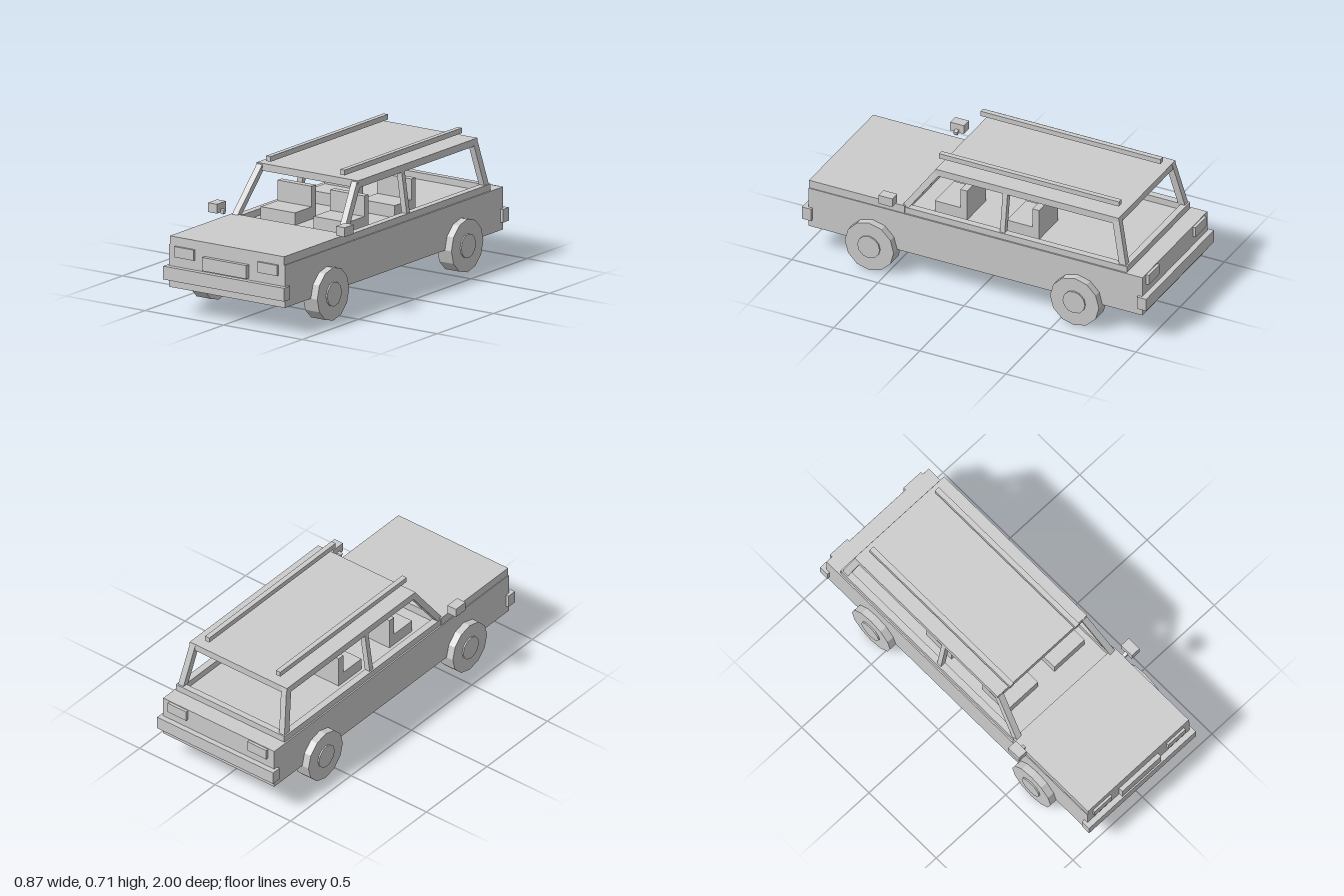
import * as THREE from 'three';

const material = new THREE.MeshStandardMaterial({ color: 0xcccccc, flatShading: true });

export function createModel() {
  const car = new THREE.Group();
  car.name = 'stationWagon';

  const add = (name, geometry) => {
    const mesh = new THREE.Mesh(geometry, material);
    mesh.name = name;
    car.add(mesh);
    return mesh;
  };

  // Box given by its extents on each axis
  const box = (name, [x0, x1], [y0, y1], [z0, z1]) =>
    add(name, new THREE.BoxGeometry(x1 - x0, y1 - y0, z1 - z0)
      .translate((x0 + x1) / 2, (y0 + y1) / 2, (z0 + z1) / 2));

  // Same box on both sides, x given for the left (+x) side
  const boxPair = (name, [x0, x1], y, z) => {
    box(name + 'Left', [x0, x1], y, z);
    box(name + 'Right', [-x1, -x0], y, z);
  };

  // Leaning post: a box sheared from a bottom centre to a top centre
  const post = (name, bottom, top, width, depth) => {
    const height = top[1] - bottom[1];
    for (const side of [1, -1]) {
      const geometry = new THREE.BoxGeometry(width, height, depth);
      const p = geometry.attributes.position;
      for (let i = 0; i < p.count; i++) {
        const t = p.getY(i) / height + 0.5;
        p.setXYZ(i,
          p.getX(i) + side * THREE.MathUtils.lerp(bottom[0], top[0], t),
          THREE.MathUtils.lerp(bottom[1], top[1], t),
          p.getZ(i) + THREE.MathUtils.lerp(bottom[2], top[2], t));
      }
      geometry.computeVertexNormals();
      add(name + (side > 0 ? 'Left' : 'Right'), geometry);
    }
  };

  // Body and hood
  box('body', [-0.368, 0.368], [0.142, 0.37], [-0.97, 0.97]);
  box('hood', [-0.363, 0.363], [0.37, 0.415], [0.414, 0.97]);

  // Window sills around the open cabin
  boxPair('sideSill', [0.322, 0.36], [0.37, 0.406], [-0.87, 0.435]);
  box('rearSill', [-0.358, 0.358], [0.37, 0.406], [-0.875, -0.84]);

  // Pillars and roof
  post('frontPillar', [0.338, 0.40, 0.42], [0.301, 0.654, 0.238], 0.035, 0.042);
  post('middlePillar', [0.338, 0.40, -0.148], [0.305, 0.625, -0.148], 0.032, 0.028);
  post('rearPillar', [0.338, 0.38, -0.852], [0.302, 0.654, -0.788], 0.035, 0.04);
  box('roof', [-0.322, 0.322], [0.621, 0.66], [-0.808, 0.255]);
  boxPair('roofRail', [0.221, 0.249], [0.682, 0.71], [-0.772, 0.273]);

  // Seats, two rows
  for (const [row, z] of [['front', 0.097], ['rear', -0.322]]) {
    boxPair(row + 'SeatCushion', [0.059, 0.276], [0.37, 0.436], [z, z + 0.187]);
    boxPair(row + 'SeatBack', [0.059, 0.276], [0.436, 0.546], [z, z + 0.038]);
  }

  // Bumpers, lights and plate
  box('frontBumper', [-0.384, 0.384], [0.185, 0.256], [0.947, 1]);
  box('rearBumper', [-0.384, 0.384], [0.185, 0.256], [-1, -0.947]);
  boxPair('headlight', [0.203, 0.327], [0.309, 0.366], [0.96, 0.983]);
  boxPair('tailLight', [0.203, 0.327], [0.309, 0.366], [-0.986, -0.96]);
  box('frontPlate', [-0.14, 0.14], [0.267, 0.339], [0.96, 0.995]);

  // Mirrors on tilted arms
  boxPair('mirror', [0.378, 0.434], [0.436, 0.486], [0.45, 0.53]);
  for (const side of [1, -1]) {
    const arm = add('mirrorArm', new THREE.BoxGeometry(0.06, 0.02, 0.02));
    arm.position.set(side * 0.387, 0.446, 0.49);
    arm.rotation.z = side * 0.3;
  }

  // Wheels with hubcaps, axles along x
  for (const side of [1, -1]) {
    for (const z of [0.597, -0.596]) {
      const wheel = new THREE.CylinderGeometry(0.142, 0.142, 0.091, 12).rotateX(0).rotateZ(Math.PI / 2);
      add('wheel', wheel).position.set(side * 0.3635, 0.142, z);
      const hub = new THREE.CylinderGeometry(0.065, 0.065, 0.03, 12).rotateZ(Math.PI / 2);
      add('hubcap', hub).position.set(side * 0.402, 0.142, z);
    }
  }

  return car;
}
